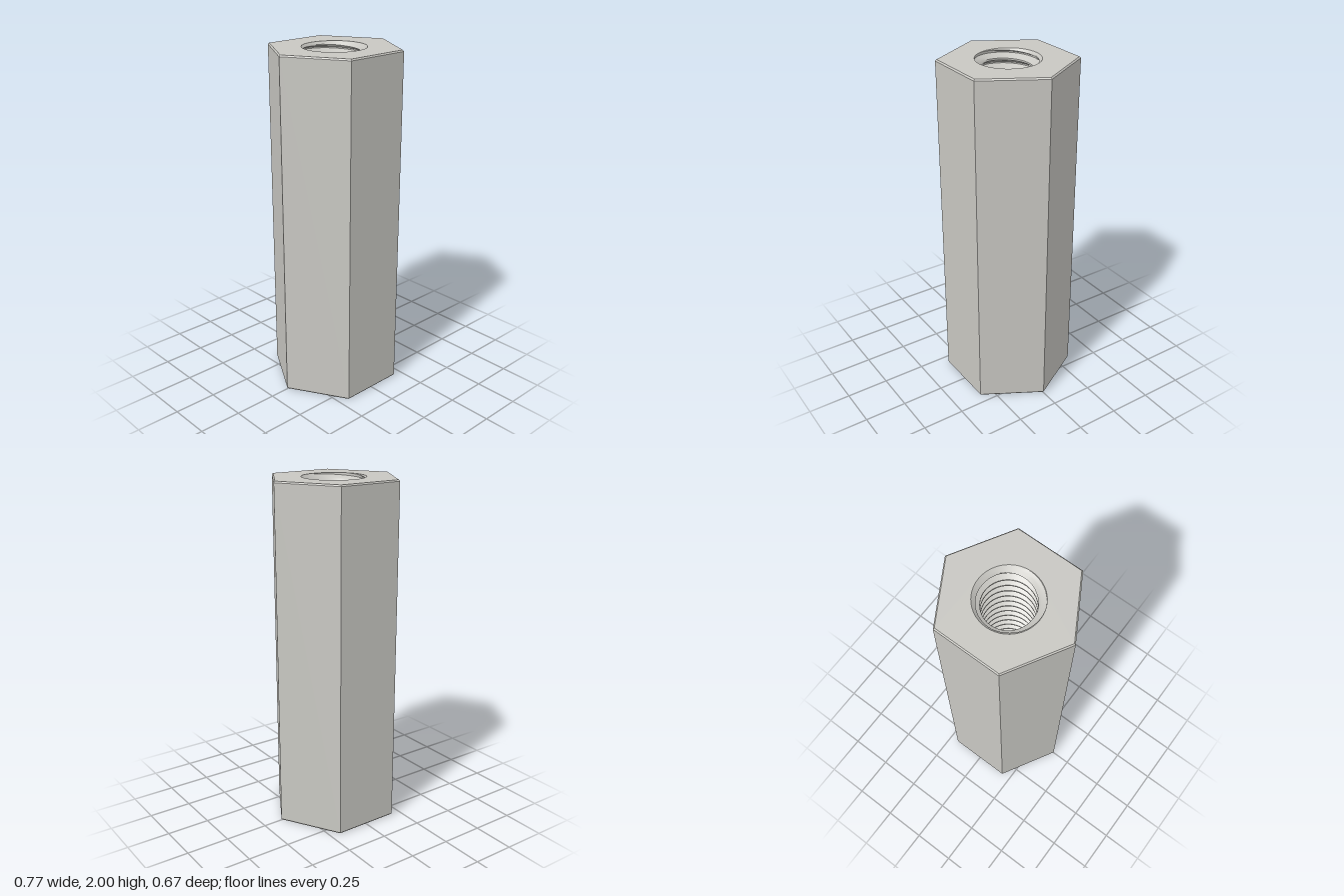
import * as THREE from 'three';
import { toCreasedNormals } from 'three/addons/utils/BufferGeometryUtils.js';

const HEIGHT = 2, CORNER = 0.385, BEVEL = 0.008;
const MINOR = 0.14, MAJOR = 0.179, MOUTH = 0.18, PITCH = 0.06, SEGMENTS = 48;

// Threaded bore: a trapezoid profile swept along a helix, opened by a cone at both ends
function threadGeometry() {
  const profile = [[0, 0], [0.16, 0], [0.28, 0.33], [0.4, 0.67], [0.52, 1], [0.64, 1], [0.76, 0.67], [0.88, 0.33]];
  const rows = [];
  for (let k = -1; k <= Math.ceil(HEIGHT / PITCH); k++) {
    for (const [u, depth] of profile) rows.push([k + u, depth]);
  }
  const positions = [], index = [], stride = SEGMENTS + 1;
  for (const [turn, depth] of rows) {
    for (let i = 0; i <= SEGMENTS; i++) {
      const a = (i / SEGMENTS) * Math.PI * 2;
      const y = THREE.MathUtils.clamp(PITCH * (turn + i / SEGMENTS), 0, HEIGHT);
      const cone = MOUTH - Math.min(y, HEIGHT - y);
      const r = Math.max(MINOR + depth * (MAJOR - MINOR), cone);
      positions.push(r * Math.cos(a), y, -r * Math.sin(a));
    }
  }
  const height = (n) => positions[n * 3 + 1];
  const addFace = (a, b, c) => {
    const lo = Math.min(height(a), height(b), height(c));
    const hi = Math.max(height(a), height(b), height(c));
    if (hi - lo > 1e-6) index.push(a, b, c); // skip faces flattened at the ends
  };
  for (let j = 0; j < rows.length - 1; j++) {
    for (let i = 0; i < SEGMENTS; i++) {
      const a = j * stride + i, up = a + stride;
      addFace(a, up, a + 1);
      addFace(a + 1, up, up + 1);
    }
  }
  const geometry = new THREE.BufferGeometry();
  geometry.setAttribute('position', new THREE.Float32BufferAttribute(positions, 3));
  geometry.setIndex(index);
  return toCreasedNormals(geometry, 0.45);
}

// Hexagonal end face with a round hole
function endGeometry() {
  const ring = (radius, sides) => Array.from({ length: sides }, (_, i) => {
    const a = (i / sides) * Math.PI * 2;
    return new THREE.Vector2(radius * Math.cos(a), radius * Math.sin(a));
  });
  const shape = new THREE.Shape(ring(CORNER - BEVEL, 6));
  shape.holes.push(new THREE.Path(ring(MOUTH, SEGMENTS)));
  return new THREE.ShapeGeometry(shape);
}

export function createModel() {
  const group = new THREE.Group();
  group.name = 'hexStandoff';
  const metal = new THREE.MeshStandardMaterial({ color: 0xc8c7c2 });
  metal.name = 'brushedMetal';
  const add = (name, geometry) => {
    const mesh = new THREE.Mesh(geometry, metal);
    mesh.name = name;
    group.add(mesh);
    return mesh;
  };

  // Six-sided body with a fine bevel at each end
  const outline = [
    [CORNER - BEVEL, 0], [CORNER, BEVEL], [CORNER, HEIGHT - BEVEL], [CORNER - BEVEL, HEIGHT],
  ].map(([x, y]) => new THREE.Vector2(x, y));
  add('hexBody', toCreasedNormals(new THREE.LatheGeometry(outline, 6, Math.PI / 2), 0.3));

  // End faces
  const top = add('topFace', endGeometry());
  top.rotation.x = -Math.PI / 2;
  top.position.y = HEIGHT;
  add('bottomFace', endGeometry()).rotation.x = Math.PI / 2;

  add('threadedBore', threadGeometry());
  return group;
}
